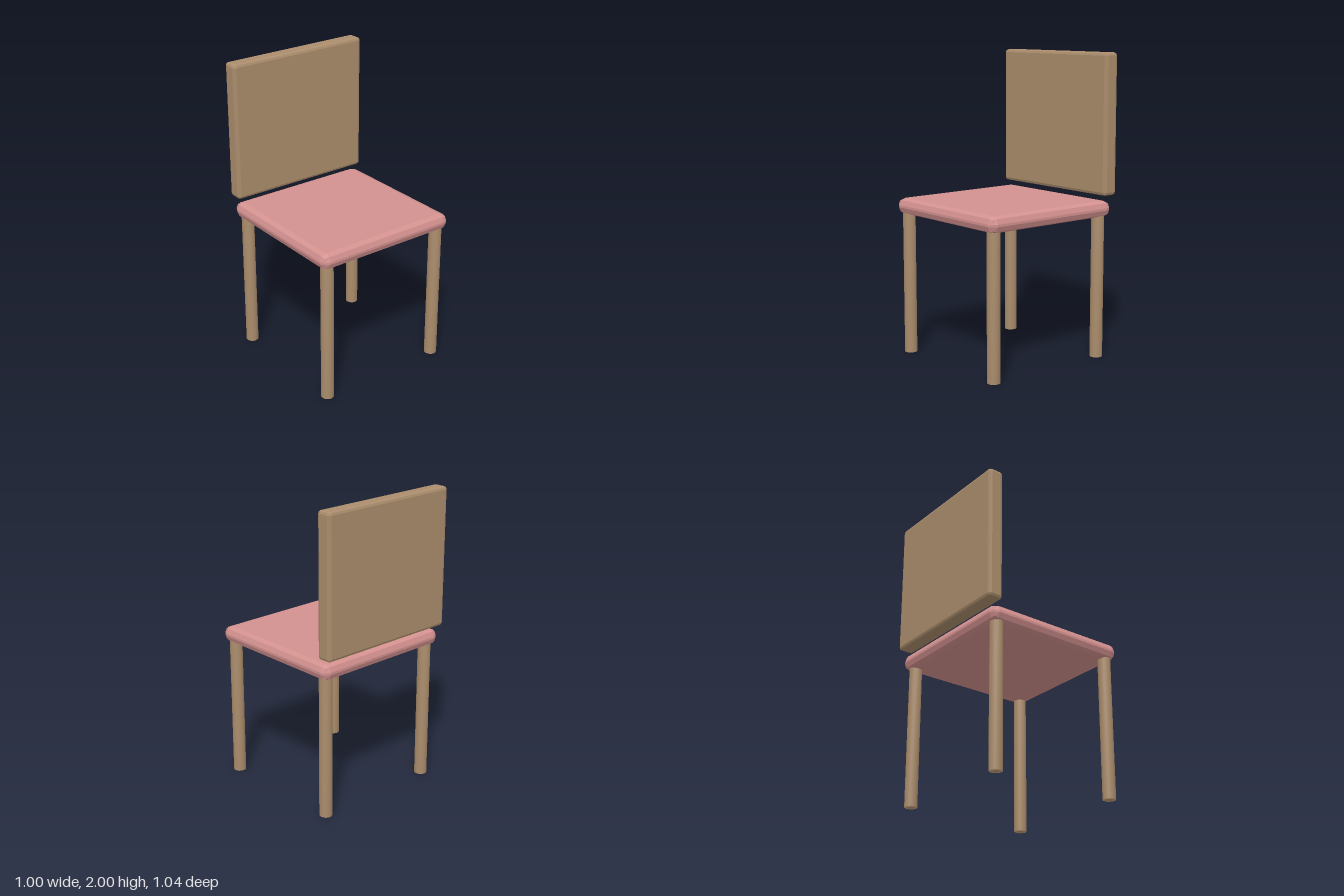
import * as THREE from 'three';
import { mergeVertices } from 'three/addons/utils/BufferGeometryUtils.js';
import { RoundedBoxGeometry } from 'three/addons/geometries/RoundedBoxGeometry.js';

const wood = new THREE.MeshStandardMaterial({ name: 'tan wood', color: 0xab8d6c });
const fabric = new THREE.MeshStandardMaterial({ name: 'pink cushion', color: 0xd3918f });

// Box with two flat facets around every edge
function bevelledBox(name, material, size, position, radius) {
  const geometry = new RoundedBoxGeometry(...size, 1, radius);
  geometry.computeVertexNormals();
  const mesh = new THREE.Mesh(geometry, material);
  mesh.name = name;
  mesh.position.set(...position);
  return mesh;
}

// Round leg with normals shared between side and caps
function legGeometry(radius, height) {
  const geometry = new THREE.CylinderGeometry(radius, radius, height, 16);
  geometry.deleteAttribute('normal');
  geometry.deleteAttribute('uv');
  const welded = mergeVertices(geometry, 1e-4);
  welded.computeVertexNormals();
  return welded;
}

export function createModel() {
  const chair = new THREE.Group();
  chair.name = 'chair';

  // Seat and the backrest floating just above it
  chair.add(bevelledBox('seat', fabric, [1.005, 0.105, 1.005], [0, 0.993, 0.017], 0.045));
  chair.add(bevelledBox('backrest', wood, [1.005, 0.92, 0.105], [0, 1.54, -0.468], 0.02));

  // Four legs
  const height = 0.95;
  const leg = legGeometry(0.042, height);
  for (const [end, z] of [['front', 0.459], ['back', -0.418]]) {
    for (const [side, x] of [['Left', 0.439], ['Right', -0.439]]) {
      const mesh = new THREE.Mesh(leg, wood);
      mesh.name = `${end}${side}Leg`;
      mesh.position.set(x, height / 2, z);
      chair.add(mesh);
    }
  }
  return chair;
}
